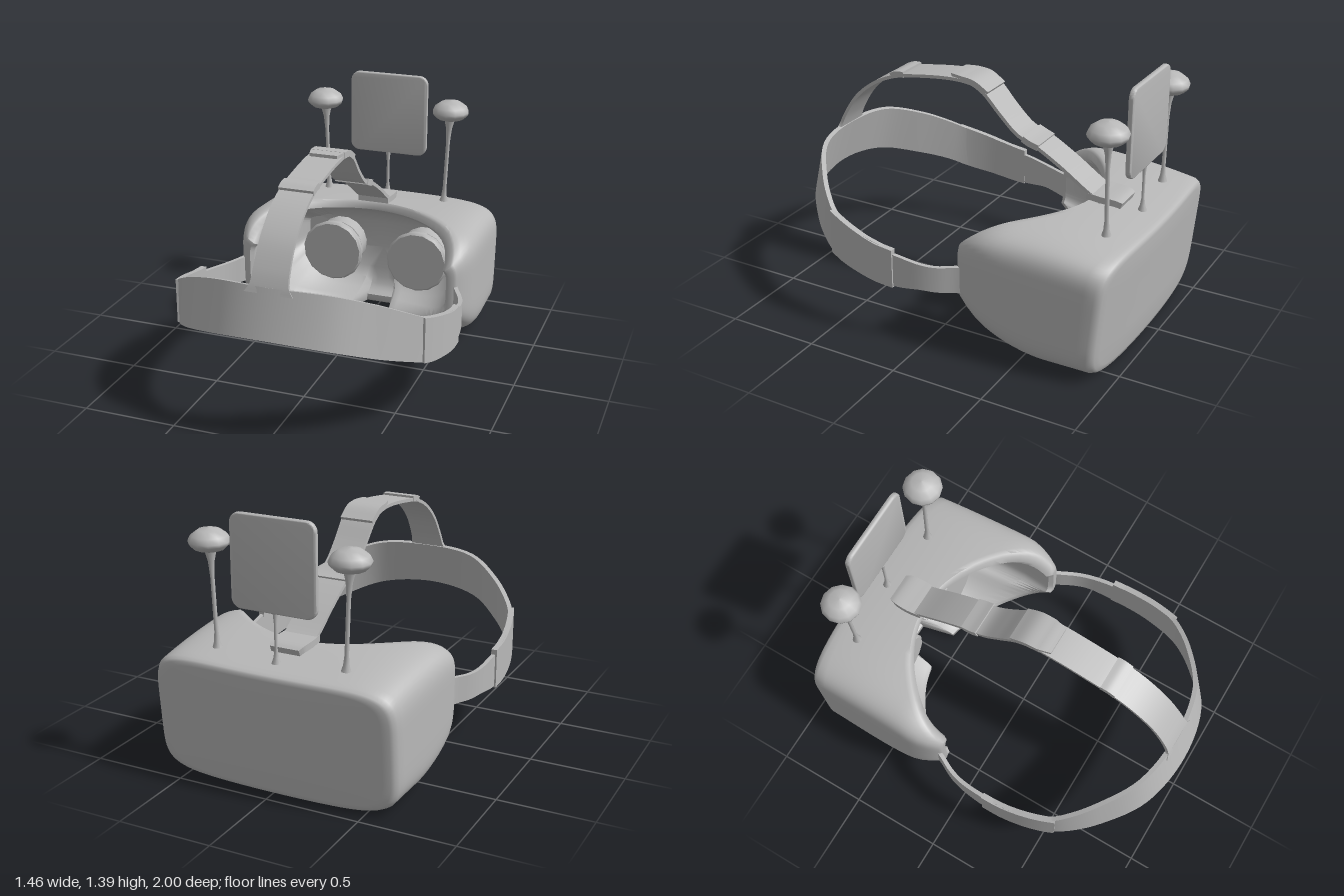
import * as THREE from 'three';
import { toCreasedNormals } from 'three/addons/utils/BufferGeometryUtils.js';

const grey = new THREE.MeshStandardMaterial({ color: 0xb8b8b8 });
grey.name = 'grey plastic';

const V = (x, y, z) => new THREE.Vector3(x, y, z);

function mesh(name, geometry, parent) {
  const m = new THREE.Mesh(geometry, grey);
  m.name = name;
  parent.add(m);
  return m;
}

// Flat strap of even thickness between a lower and an upper edge curve
function ribbon(edges, thickness, steps = 32) {
  const lo = new THREE.CatmullRomCurve3(edges.map(e => e[0]));
  const hi = new THREE.CatmullRomCurve3(edges.map(e => e[1]));
  const pos = [], idx = [];
  for (let j = 0; j <= steps; j++) {
    const t = j / steps, a = lo.getPoint(t), b = hi.getPoint(t);
    const tangent = lo.getTangent(t).add(hi.getTangent(t));
    const n = b.clone().sub(a).cross(tangent).setLength(thickness / 2);
    for (const [p, s] of [[a, 1], [b, 1], [b, -1], [a, -1]]) {
      pos.push(p.x + n.x * s, p.y + n.y * s, p.z + n.z * s);
    }
    if (j === steps) continue;
    for (let k = 0; k < 4; k++) {
      const p = j * 4 + k, q = j * 4 + (k + 1) % 4;
      idx.push(p, q, p + 4, q, q + 4, p + 4);
    }
  }
  const e = steps * 4;
  idx.push(e, e + 1, e + 2, e, e + 2, e + 3, 0, 2, 1, 0, 3, 2);
  const g = new THREE.BufferGeometry();
  g.setAttribute('position', new THREE.Float32BufferAttribute(pos, 3));
  g.setIndex(idx);
  return toCreasedNormals(g, 0.7);
}

// Visor shell: half width, top and bottom heights along the depth
const halfWidth = z => 0.66 + 0.02 * Math.min(1, (z + 1) / 0.6) - 1.5 * Math.max(0, z + 0.35) ** 2;
const topY = z => 0.71 - (z < -0.4 ? 0.17 : 1.6) * (z + 0.4) ** 2;
const bottomY = z => 0.005 + 0.9 * Math.max(0, z + 0.65) ** 2;

// Point on the rounded-rectangle section, moved in by an inset and scaled
function section(u, v, z, inset = 0, k = 1) {
  const top = topY(z), bottom = bottomY(z);
  return V(u * (halfWidth(z) - inset) * k,
    (top + bottom) / 2 + v * ((top - bottom) / 2 - inset) * k, z);
}

// Face-side edge: curved around the brow, with a nose notch below
function rimZ(u, v) {
  const x = Math.abs(u * 0.66);
  if (v < -0.5 && x < 0.11) return -0.76;
  const z = -0.62 + x * x + 0.9 * x ** 6;
  return Math.min(-0.16, v < -0.5 ? z + 0.04 * (1 - x / 0.66) : z);
}

function shellGeometry() {
  const side = 32, n = 6, outline = [];
  for (let s = 0; s < 4; s++) {
    for (let i = 0; i < side; i++) {
      const w = -1 + 2 * i / side;
      const [a, b] = [[1, w], [-w, 1], [-1, -w], [w, -1]][s];
      const r = (Math.abs(a) ** n + Math.abs(b) ** n) ** (1 / n);
      outline.push([a / r, b / r]);
    }
  }
  const backZ = p => -1 + (0.63 - p.y) * 0.09 + 0.085 * p.x * p.x;
  const rings = [];
  // Slightly bowed front plate with a rounded edge
  for (const [k, dz] of [[0, 0], [0.5, 0], [0.9, 0], [0.96, 0.003], [0.985, 0.012]]) {
    rings.push((u, v) => {
      const p = section(u, v, -0.97, 0, k);
      p.z = backZ(p) + dz;
      return p;
    });
  }
  // Outer wall
  for (let j = 0; j <= 14; j++) {
    rings.push((u, v) => {
      const start = backZ(section(u, v, -0.97)) + 0.035;
      return section(u, v, start + (rimZ(u, v) - start) * j / 14);
    });
  }
  // Rounded lip and the hollow behind it
  for (const [inset, dz] of [[0.012, 0.012], [0.045, 0.012], [0.062, -0.012]]) {
    rings.push((u, v) => {
      const z = rimZ(u, v), p = section(u, v, z, inset);
      p.z += dz;
      return p;
    });
  }
  for (const [t, inset] of [[0.25, 0.08], [0.55, 0.1], [0.85, 0.14], [1, 0.2]]) {
    rings.push((u, v) => {
      const z = rimZ(u, v) - 0.02;
      const p = section(u, v, Math.min(z, -0.3), inset);
      p.z = z + (-0.82 - z) * t;
      return p;
    });
  }
  rings.push((u, v) => section(u, v, -0.82, 0.2, 0));

  const pos = [], idx = [], N = outline.length;
  rings.forEach((ring, r) => outline.forEach(([u, v], i) => {
    pos.push(...ring(u, v).toArray());
    if (r === rings.length - 1) return;
    const a = r * N + i, b = r * N + (i + 1) % N;
    idx.push(a, b, a + N, b, b + N, a + N);
  }));
  const g = new THREE.BufferGeometry();
  g.setAttribute('position', new THREE.Float32BufferAttribute(pos, 3));
  g.setIndex(idx);
  return toCreasedNormals(g, 0.8);
}

const lathe = (pts, sides) =>
  new THREE.LatheGeometry(pts.map(p => new THREE.Vector2(...p)), sides);

export function createModel() {
  const model = new THREE.Group();
  model.name = 'headset';
  mesh('visorShell', shellGeometry(), model);

  // Lenses: a disc on a stepped barrel
  const lensGeo = toCreasedNormals(lathe([[0.15, -0.2], [0.15, -0.11], [0.125, -0.1], [0.125, -0.06],
    [0.175, -0.055], [0.183, -0.012], [0.172, 0], [0, 0]], 15), 0.5);
  for (const s of [-1, 1]) {
    const lens = mesh(s > 0 ? 'leftLens' : 'rightLens', lensGeo, model);
    lens.rotation.x = Math.PI / 2;
    lens.position.set(s * 0.26, 0.355, -0.62);
  }

  // Head band; each row is x, z, lower y, upper y, inward lean
  const edge = ([x, z, lo, hi, lean = 0], s = 1) => [V(s * x, lo, z), V(s * x * (1 - lean * 0.4), hi, z - lean)];
  const half = [[0.3, 0.93, 0.525, 0.785, 0.06], [0.5, 0.78, 0.45, 0.71, 0.04], [0.61, 0.65, 0.395, 0.64, 0.02],
    [0.66, 0.55, 0.355, 0.595], [0.7, 0.4, 0.325, 0.55], [0.715, 0.2, 0.295, 0.505]];
  const band = [...half.slice().reverse().map(r => edge(r, -1)),
    edge([0, 0.985, 0.555, 0.8, 0.07]), ...half.map(r => edge(r))];
  mesh('headBand', ribbon(band, 0.024, 72), model);
  for (const s of [-1, 1]) {
    const name = s > 0 ? 'left' : 'right';
    const sleeve = [[0.655, 0.58, 0.362, 0.605], [0.68, 0.5, 0.34, 0.58], [0.702, 0.4, 0.322, 0.552],
      [0.715, 0.28, 0.302, 0.52], [0.715, 0.17, 0.292, 0.505]];
    mesh(name + 'Sleeve', ribbon(sleeve.map(r => edge(r, s)), 0.032, 16), model);
    const arm = [[0.71, 0.3, 0.31, 0.49], [0.71, 0.15, 0.3, 0.475], [0.695, 0.02, 0.31, 0.452],
      [0.67, -0.06, 0.305, 0.445], [0.625, -0.15, 0.305, 0.45], [0.6, -0.22, 0.3, 0.45]];
    mesh(name + 'SideStrap', ribbon(arm.map(r => edge(r, s)), 0.022, 24), model);
  }

  // Top strap; each row is z, y, half width
  const strap = (name, rows, t, steps) =>
    mesh(name, ribbon(rows.map(([z, y, w = 0.09]) => [V(-w, y, z), V(w, y, z)]), t, steps), model);
  strap('rearTopStrap', [[0.925, 0.77, 0.125], [0.912, 0.81, 0.1], [0.88, 0.88, 0.093], [0.8, 1, 0.09],
    [0.68, 1.1], [0.55, 1.16], [0.4, 1.19], [0.2, 1.212], [0.06, 1.21]], 0.018, 40);
  strap('rearBuckle', [[0.57, 1.162, 0.092], [0.53, 1.178, 0.092], [0.49, 1.18, 0.092]], 0.032, 8);
  strap('frontTopStrap', [[0.2, 1.228, 0.075], [0.14, 1.228], [0.07, 1.214, 0.093], [0, 1.17, 0.093], [-0.1, 1.065],
    [-0.2, 0.975], [-0.3, 0.935], [-0.45, 0.85], [-0.6, 0.75], [-0.68, 0.705]], 0.02, 48);
  strap('topClip', [[0.14, 1.222, 0.092], [0.06, 1.212, 0.094], [-0.02, 1.165, 0.092]], 0.034, 12);
  strap('frontBuckle', [[-0.23, 0.962, 0.095], [-0.27, 0.944, 0.096], [-0.32, 0.928, 0.092]], 0.034, 8);
  strap('strapAnchor', [[-0.6, 0.725], [-0.68, 0.722, 0.098], [-0.76, 0.717, 0.092], [-0.79, 0.705, 0.08]], 0.035, 12);

  // Mushroom-capped antennas
  const capGeo = lathe([[0, 1.165], [0.03, 1.168], [0.075, 1.182], [0.1, 1.205], [0.105, 1.222],
    [0.092, 1.25], [0.055, 1.277], [0, 1.286]], 12);
  const stemGeo = lathe([[0.025, 0], [0.016, 0.03], [0.011, 0.08], [0.011, 0.36], [0.017, 0.44], [0.032, 0.5]], 10);
  for (const s of [-1, 1]) {
    const antenna = new THREE.Group();
    antenna.name = s > 0 ? 'leftAntenna' : 'rightAntenna';
    model.add(antenna);
    mesh('cap', capGeo, antenna).position.set(s * 0.38, 0, -0.835);
    const stem = mesh('stem', stemGeo, antenna);
    stem.position.set(s * 0.356, 0.68, -0.835);
    stem.rotation.z = -s * 0.04;
  }

  // Upright rounded sign on a thin stem
  const w = 0.223, h = 0.229, r = 0.045;
  const shape = new THREE.Shape();
  shape.absarc(w - r, h - r, r, 0, Math.PI / 2);
  shape.absarc(-w + r, h - r, r, Math.PI / 2, Math.PI);
  shape.absarc(-w + r, -h + r, r, Math.PI, Math.PI * 1.5);
  shape.absarc(w - r, -h + r, r, Math.PI * 1.5, Math.PI * 2);
  const signGeo = new THREE.ExtrudeGeometry(shape,
    { depth: 0.014, bevelThickness: 0.008, bevelSize: 0.008, bevelSegments: 3, curveSegments: 6 });
  mesh('signPanel', toCreasedNormals(signGeo, 0.8), model).position.set(0, 1.16, -0.885);
  mesh('signStem', lathe([[0.024, 0], [0.014, 0.03], [0.008, 0.07], [0.008, 0.2], [0.014, 0.26]], 10), model)
    .position.set(0, 0.67, -0.872);

  return model;
}
